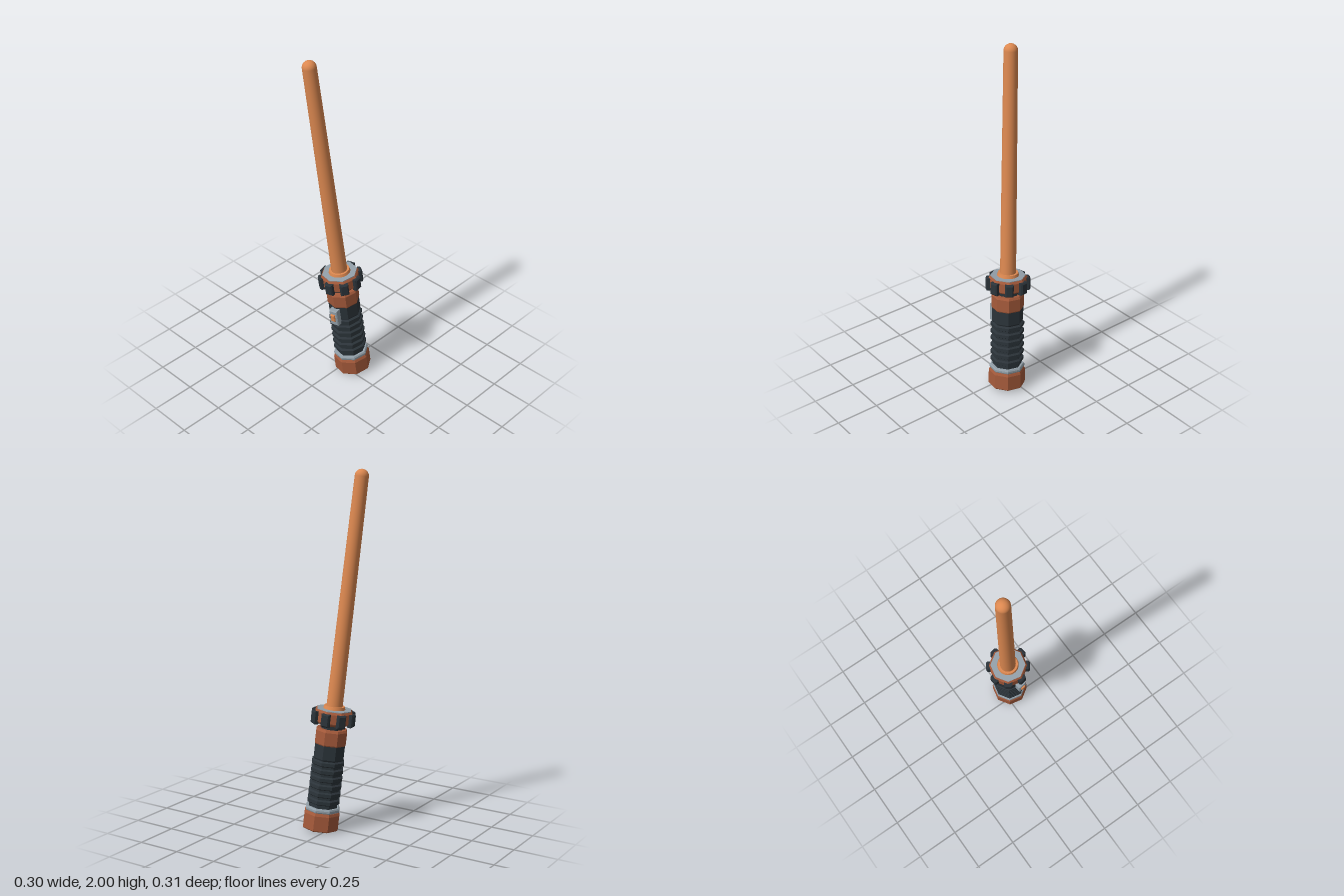
import * as THREE from 'three';

const material = (name, color) => {
  const m = new THREE.MeshStandardMaterial({ color });
  m.name = name;
  return m;
};

export function createModel() {
  const orange = material('bright orange', 0xdc8850);
  const brown = material('copper brown', 0xa3593a);
  const dark = material('dark slate', 0x2b3339);
  const grey = material('steel grey', 0x93a0a9);

  const model = new THREE.Group();
  model.name = 'energySword';
  const sword = new THREE.Group();
  sword.name = 'tiltedSword';
  model.add(sword);

  const add = (name, geometry, mat, parent = sword) => {
    const mesh = new THREE.Mesh(geometry, mat);
    mesh.name = name;
    parent.add(mesh);
    return mesh;
  };
  const lathe = (points, sides) =>
    new THREE.LatheGeometry(points.map(([r, y]) => new THREE.Vector2(r, y)), sides);
  // Faceted octagonal part turned from [radius, height] pairs
  const octagon = (name, points, mat) => {
    const g = lathe(points, 8).toNonIndexed();
    g.computeVertexNormals();
    return add(name, g, mat);
  };
  // Block with chamfered front edges, facing +z from its origin
  const block = (w, h, d, bevel) => {
    const s = new THREE.Shape();
    const x = w / 2 - bevel, y = h / 2 - bevel;
    s.moveTo(-x, -y).lineTo(x, -y).lineTo(x, y).lineTo(-x, y).closePath();
    return new THREE.ExtrudeGeometry(s, {
      depth: d - 2 * bevel, bevelSize: bevel, bevelThickness: bevel, bevelSegments: 1,
    }).translate(0, 0, bevel);
  };

  // Pommel and its trim ring
  octagon('pommel', [[0, 0], [0.1, 0], [0.105, 0.005], [0.105, 0.09], [0.098, 0.104], [0, 0.104]], brown);
  octagon('pommelRing', [[0.08, 0.104], [0.098, 0.106], [0.101, 0.112], [0.101, 0.122], [0.096, 0.13], [0.08, 0.13]], grey);

  // Ribbed grip with a plain upper section
  const grip = [[0.084, 0.125]];
  for (let i = 0; i < 6; i++) {
    const y = 0.165 + i * 0.044;
    grip.push([0.084, y - 0.016], [0.096, y - 0.009], [0.096, y + 0.009], [0.084, y + 0.016]);
  }
  grip.push([0.089, 0.41], [0.089, 0.495]);
  octagon('grip', grip, dark);

  // Upper band and narrow neck
  octagon('upperBand', [[0.08, 0.488], [0.089, 0.488], [0.092, 0.494], [0.092, 0.565], [0.084, 0.577], [0, 0.577]], brown);
  octagon('neck', [[0.064, 0.57], [0.064, 0.615]], dark);

  // Emitter collar with a flat cap
  octagon('collar', [[0, 0.6], [0.08, 0.6], [0.108, 0.614], [0.111, 0.62], [0.111, 0.672], [0.102, 0.684], [0, 0.684]], brown);
  octagon('collarCap', [[0.1, 0.682], [0.1, 0.688], [0, 0.688]], grey);

  // Studs on the collar corners
  const studs = new THREE.Group();
  studs.name = 'collarStuds';
  sword.add(studs);
  const studGeometry = block(0.048, 0.072, 0.035, 0.007);
  for (let i = 0; i < 8; i++) {
    const a = (i * Math.PI) / 4;
    const stud = add('stud', studGeometry, dark, studs);
    stud.position.set(0.09 * Math.sin(a), 0.638, 0.09 * Math.cos(a));
    stud.rotation.y = a;
  }

  // Switch plate and button
  add('switchPlate', block(0.052, 0.1, 0.04, 0.005), grey).position.set(0, 0.432, 0.076);
  add('switchButton', block(0.026, 0.044, 0.02, 0.004), orange).position.set(0, 0.437, 0.106);

  // Blade socket and rounded, tapering blade
  add('bladeSocket', new THREE.CylinderGeometry(0.057, 0.062, 0.018, 32), orange).position.y = 0.695;
  const blade = [[0.045, 0.69]];
  for (let i = 0; i <= 10; i++) {
    const a = (i / 10) * Math.PI / 2;
    blade.push([0.038 * Math.cos(a), 1.963 + 0.038 * Math.sin(a)]);
  }
  add('blade', lathe(blade, 32), orange);

  // Lean the whole sword along its axis
  const axis = new THREE.Vector3(-0.16, 1.95, 0.166).normalize();
  sword.quaternion
    .setFromUnitVectors(new THREE.Vector3(0, 1, 0), axis)
    .multiply(new THREE.Quaternion().setFromAxisAngle(new THREE.Vector3(0, 1, 0), 0.18));
  sword.position.set(0.045, 0.012, -0.05);
  return model;
}
